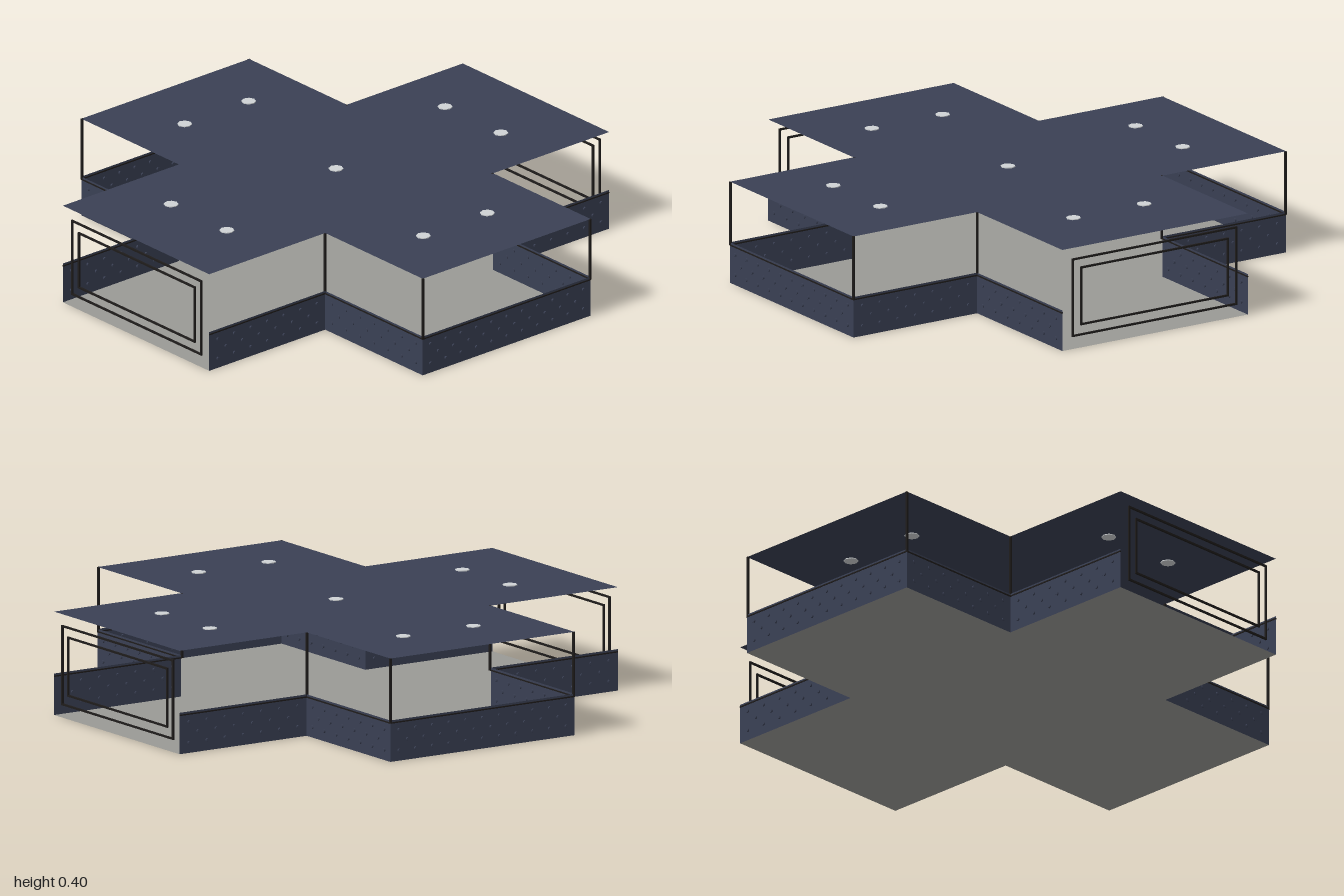
import * as THREE from 'three';
import { mergeGeometries } from 'three/addons/utils/BufferGeometryUtils.js';

const HALF = 0.42, END_X = 0.98, END_Z = 1, WALL_H = 0.16, ROOF_Y = 0.4;

const mat = (name, color, side = THREE.FrontSide) => {
  const m = new THREE.MeshStandardMaterial({ color, side });
  m.name = name;
  return m;
};

// Cross-shaped outline, counter-clockwise
const outline = [
  [-HALF, -END_Z], [HALF, -END_Z], [HALF, -HALF], [END_X, -HALF],
  [END_X, HALF], [HALF, HALF], [HALF, END_Z], [-HALF, END_Z],
  [-HALF, HALF], [-END_X, HALF], [-END_X, -HALF], [-HALF, -HALF],
];

export function createModel() {
  const model = new THREE.Group();
  model.name = 'crossCorridor';
  const navy = mat('navyPanel', 0x3a4054, THREE.DoubleSide);
  const grey = mat('floorGrey', 0x999995, THREE.DoubleSide);
  const dark = mat('darkTrim', 0x1f1c1b);
  const lamp = mat('lampGrey', 0xcfd2d4);

  const add = (name, geometry, material, parent = model) => {
    const mesh = new THREE.Mesh(geometry, material);
    mesh.name = name;
    parent.add(mesh);
    return mesh;
  };

  // Floor and roof sheets
  const crossSheet = (y) => {
    const shape = new THREE.Shape(outline.map(([x, z]) => new THREE.Vector2(x, z)));
    return new THREE.ShapeGeometry(shape).rotateX(-Math.PI / 2).translate(0, y, 0);
  };
  add('floor', crossSheet(0), grey);
  add('roof', crossSheet(ROOF_Y - 0.001), navy);

  // Low studded walls along every edge except the two framed ends
  outline.forEach(([x0, z0], i) => {
    const [x1, z1] = outline[(i + 1) % outline.length];
    if (Math.abs(z0) === END_Z && z0 === z1) return;
    const length = Math.hypot(x1 - x0, z1 - z0);
    const wall = new THREE.Group();
    wall.name = 'wall';
    wall.position.set((x0 + x1) / 2, 0, (z0 + z1) / 2);
    wall.rotation.y = -Math.atan2(z1 - z0, x1 - x0);
    model.add(wall);
    add('wallPanel', new THREE.PlaneGeometry(length, WALL_H).translate(0, WALL_H / 2, 0), navy, wall);
    add('wallRail', new THREE.BoxGeometry(length, 0.005, 0.005).translate(0, 0.15, 0), dark, wall);

    // Staggered rows of studs, showing on both faces
    const studs = [];
    const count = Math.round(length / 0.08);
    const step = length / count;
    for (let row = 0; row < 3; row++) {
      const n = row % 2 ? count - 1 : count;
      for (let k = 0; k < n; k++) {
        studs.push(new THREE.CylinderGeometry(0.007, 0.007, 0.012, 6)
          .rotateX(Math.PI / 2)
          .translate((k - (n - 1) / 2) * step, 0.04 + row * 0.04, 0));
      }
    }
    add('wallStuds', mergeGeometries(studs), navy, wall);
  });

  // Corner posts from the walls to the roof
  for (const sx of [-1, 1]) for (const sz of [-1, 1]) for (const x of [HALF, END_X]) {
    const h = ROOF_Y - 0.15;
    add('post', new THREE.BoxGeometry(0.008, h, 0.008), dark)
      .position.set(sx * (x - 0.002), 0.15 + h / 2 - 0.001, sz * (HALF - 0.002));
  }

  // Thin double frames at the two open ends
  const frame = (halfW, y0, y1) => {
    const t = 0.007, h = y1 - y0, mid = (y0 + y1) / 2;
    return mergeGeometries([
      new THREE.BoxGeometry(halfW * 2, t, t).translate(0, y0, 0),
      new THREE.BoxGeometry(halfW * 2, t, t).translate(0, y1, 0),
      new THREE.BoxGeometry(t, h + t, t).translate(-halfW, mid, 0),
      new THREE.BoxGeometry(t, h + t, t).translate(halfW, mid, 0),
    ]);
  };
  for (const s of [-1, 1]) {
    add('outerFrame', frame(0.37, 0.05, 0.352), dark).position.z = s * 0.996;
    add('innerFrame', frame(0.332, 0.09, 0.314), dark).position.z = s * 0.996;
  }

  // Round lamps set through the roof
  const spots = [[0, 0]];
  for (const a of [-1, 1]) for (const b of [-1, 1]) {
    spots.push([a * 0.16, b * 0.685], [a * 0.685, b * 0.16]);
  }
  for (const [x, z] of spots) {
    add('roofLamp', new THREE.CylinderGeometry(0.028, 0.028, 0.007, 8), lamp)
      .position.set(x, ROOF_Y - 0.001, z);
  }
  return model;
}
